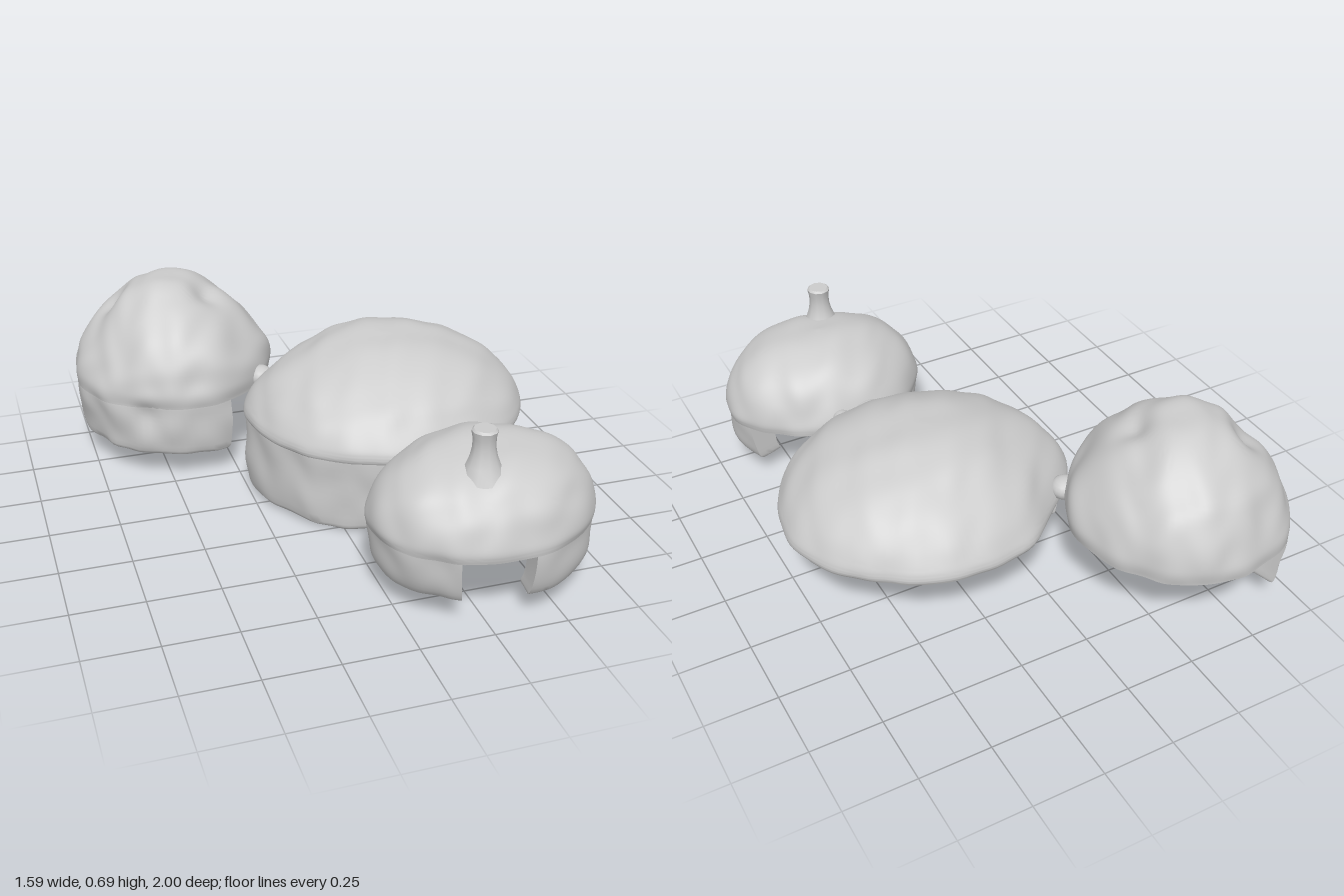
import * as THREE from 'three';
import { toCreasedNormals } from 'three/addons/utils/BufferGeometryUtils.js';

const material = new THREE.MeshStandardMaterial({ color: 0xcccccc, side: THREE.DoubleSide });

// Smooth, repeatable lumpiness in the range -1..1
function lump(x, y, z, f) {
  return (Math.sin(f * x + 1.7 * Math.sin(f * 0.7 * z)) + Math.sin(f * 1.3 * y + f * 0.6 * x + 2)
    + Math.sin(f * 1.1 * z + 1.4 * Math.sin(f * 0.8 * y + f * 0.5 * x) + 4)) / 3;
}

// Push every vertex in or out from the hut's middle, and press in any dents
function weather(geo, hut) {
  const p = geo.attributes.position, v = new THREE.Vector3(), d = new THREE.Vector3();
  for (let i = 0; i < p.count; i++) {
    v.fromBufferAttribute(p, i);
    d.set(v.x - hut.cx, (v.y - 0.28) * 1.2, v.z - hut.cz).normalize();
    let k = hut.rough * (lump(v.x, v.y, v.z, 13) + 0.55 * lump(v.z, v.x, v.y, 33));
    for (const [x, y, z, r, depth] of hut.dents) {
      k -= depth * Math.exp(-((v.x - x) ** 2 + (v.y - y) ** 2 + (v.z - z) ** 2) / (r * r));
    }
    v.addScaledVector(d, k);
    p.setXYZ(i, v.x, v.y, v.z);
  }
  return toCreasedNormals(geo, 0.9);
}

function addMesh(group, name, geo) {
  const mesh = new THREE.Mesh(geo, material);
  mesh.name = name;
  group.add(mesh);
}

// Elliptical dome: smooth top profile, straight-sided underside, both as [radius fraction, y]
function dome(hut, top, under) {
  const seg = 120;
  const curve = new THREE.SplineCurve(top.map(([r, y]) => new THREE.Vector2(r, y)));
  const rings = curve.getPoints(40);
  for (const [r, y] of under) {
    const last = rings[rings.length - 1], end = new THREE.Vector2(r, y);
    for (let s = 1; s <= 5; s++) rings.push(last.clone().lerp(end, s / 5));
  }
  const pos = [], index = [];
  rings.forEach((q, i) => {
    for (let j = 0; j < seg; j++) {
      const a = j / seg * Math.PI * 2;
      pos.push(hut.cx + hut.rx * q.x * Math.cos(a), q.y, hut.cz + hut.rz * q.x * Math.sin(a));
      if (i === rings.length - 1) continue;
      const k = (j + 1) % seg, n = i * seg;
      index.push(n + j, n + k, n + seg + j, n + k, n + seg + k, n + seg + j);
    }
  });
  const geo = new THREE.BufferGeometry();
  geo.setAttribute('position', new THREE.Float32BufferAttribute(pos, 3));
  geo.setIndex(index);
  return weather(geo, hut);
}

// Wall below a dome: follows the rim from angle a0 to a1 (degrees), closed by inner [x, z] corners
function wall(hut, a0, a1, inner, y0, y1, tuck) {
  const pts = [], round = 0.022;
  for (let i = 0; i <= 40; i++) {
    const a = THREE.MathUtils.degToRad(a0 + (a1 - a0) * i / 40);
    pts.push(new THREE.Vector2(hut.cx + 0.99 * hut.rx * Math.cos(a), -hut.cz - 0.99 * hut.rz * Math.sin(a)));
  }
  const corners = [pts[40], ...inner.map(([x, z]) => new THREE.Vector2(x, -z)), pts[0]];
  for (let i = 1; i < corners.length; i++) {
    for (let s = 1; s <= 6; s++) {
      if (i < corners.length - 1 || s < 6) pts.push(corners[i - 1].clone().lerp(corners[i], s / 6));
    }
  }
  const geo = new THREE.ExtrudeGeometry(new THREE.Shape(pts), {
    depth: y1 - y0 - 2 * round, steps: 10,
    bevelThickness: round, bevelSize: round, bevelOffset: -round, bevelSegments: 4,
  });
  geo.rotateX(-Math.PI / 2).translate(0, y0 + round, 0);
  // Draw the foot of the wall inwards
  const p = geo.attributes.position;
  for (let i = 0; i < p.count; i++) {
    const t = (y1 - p.getY(i)) / (y1 - y0), k = 1 - tuck * t ** 4;
    p.setX(i, hut.cx + (p.getX(i) - hut.cx) * k);
    p.setZ(i, hut.cz + (p.getZ(i) - hut.cz) * k);
  }
  return weather(geo, hut);
}

function lumpBridge(x, y, z, rx, ry, rz) {
  return new THREE.SphereGeometry(1, 16, 10).scale(rx, ry, rz).translate(x, y, z);
}

export function createModel() {
  const model = new THREE.Group();
  model.name = 'hutCluster';

  // Wide hut with a broad cap on an off-centre base
  const capHut = new THREE.Group();
  capHut.name = 'capHut';
  const cap = { cx: 0.27, cz: -0.1, rx: 0.52, rz: 0.465, rough: 0.009, dents: [[-0.07, 0.32, -0.43, 0.17, 0.035]] };
  addMesh(capHut, 'cap', dome(cap,
    [[0, 0.58], [0.3, 0.567], [0.55, 0.525], [0.75, 0.465], [0.9, 0.395], [0.98, 0.335], [1, 0.3], [0.985, 0.28]],
    [[0.85, 0.285], [0.8, 0.3], [0, 0.3]]));
  addMesh(capHut, 'capBase', wall(cap, 99, 187, [[-0.02, -0.12], [0.14, 0.08]], 0.012, 0.325, 0.03));

  // Tall boulder-shaped hut, its foot scooped out on the inner side
  const boulderHut = new THREE.Group();
  boulderHut.name = 'boulderHut';
  const boulder = {
    cx: -0.42, cz: -0.615, rx: 0.37, rz: 0.385, rough: 0.013,
    dents: [[-0.29, 0.66, -0.52, 0.07, 0.035], [-0.63, 0.6, -0.69, 0.08, 0.04],
      [-0.6, 0.27, -0.27, 0.06, 0.025], [-0.5, 0.1, -0.61, 0.15, 0.05]],
  };
  addMesh(boulderHut, 'boulderTop', dome(boulder,
    [[0, 0.7], [0.24, 0.69], [0.49, 0.637], [0.76, 0.543], [0.92, 0.445], [1, 0.36], [0.99, 0.305]],
    [[0.85, 0.3], [0, 0.31]]));
  addMesh(boulderHut, 'boulderBase', wall(boulder, 66, 233, [[-0.57, -0.72], [-0.46, -0.5]], 0.1, 0.34, 0.04));

  // Round hut with a chimney, open at front and back
  const roundHut = new THREE.Group();
  roundHut.name = 'roundHut';
  const round = { cx: 0.32, cz: 0.69, rx: 0.38, rz: 0.31, rough: 0.01, dents: [] };
  addMesh(roundHut, 'roundRoof', dome(round,
    [[0, 0.53], [0.35, 0.517], [0.6, 0.485], [0.8, 0.435], [0.93, 0.373], [1, 0.3], [0.99, 0.26]],
    [[0.75, 0.265], [0.62, 0.35], [0, 0.39]]));
  addMesh(roundHut, 'rightWall', wall(round, -23, 81, [[0.39, 0.9], [0.5, 0.84], [0.56, 0.7], [0.57, 0.6]], 0.09, 0.305, 0.14));
  addMesh(roundHut, 'leftWall', wall(round, 118, 240, [[0.15, 0.53], [0.17, 0.66], [0.15, 0.8]], 0.09, 0.305, 0.14));

  // Chimney with a flared foot
  const chimneyProfile = [[0.08, 0.46], [0.054, 0.51], [0.043, 0.54], [0.037, 0.57], [0.037, 0.6], [0.042, 0.625], [0.035, 0.632], [0, 0.632]];
  const chimney = new THREE.LatheGeometry(chimneyProfile.map(([r, y]) => new THREE.Vector2(r, y)), 10);
  addMesh(roundHut, 'chimney', toCreasedNormals(chimney.translate(0.262, 0, 0.81), 0.7));

  // Small lumps joining neighbouring huts
  const joints = new THREE.Group();
  joints.name = 'joints';
  addMesh(joints, 'roundHutJoint', lumpBridge(0.26, 0.33, 0.37, 0.06, 0.035, 0.06));
  addMesh(joints, 'roundHutSideJoint', lumpBridge(0.37, 0.325, 0.37, 0.035, 0.03, 0.06));
  addMesh(joints, 'boulderJoint', lumpBridge(-0.13, 0.34, -0.37, 0.05, 0.04, 0.05));

  model.add(capHut, boulderHut, roundHut, joints);
  return model;
}
